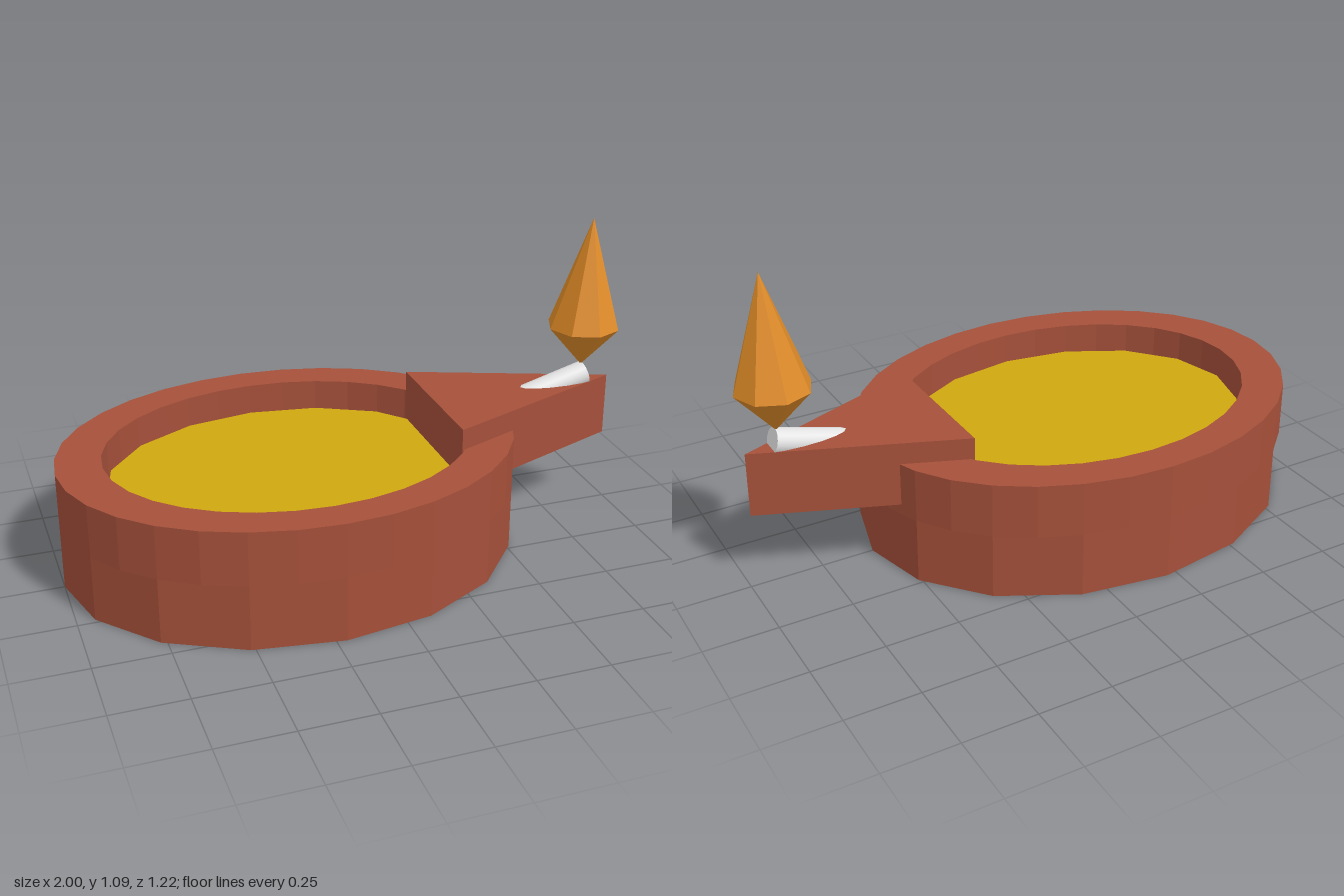
import * as THREE from 'three';

const flat = (name, color) => {
  const m = new THREE.MeshStandardMaterial({ color, flatShading: true });
  m.name = name;
  return m;
};

export function createModel() {
  const clay = flat('terracotta', 0xa5503a);
  const oilMat = flat('golden oil', 0xcfa810);
  const flameMat = flat('flame orange', 0xe08c28);
  const wickMat = new THREE.MeshStandardMaterial({ color: 0xe2e2e2 });
  wickMat.name = 'white wick';

  const group = new THREE.Group();
  const add = (name, geometry, material, x = 0, y = 0) => {
    const mesh = new THREE.Mesh(geometry, material);
    mesh.name = name;
    mesh.position.set(x, y, 0);
    group.add(mesh);
    return mesh;
  };
  const profile = (pts) => pts.map(([r, y]) => new THREE.Vector2(r, y));

  const bowlX = -0.215, rx = 0.785, rz = 0.61;

  // Oval base with 16 sides
  add('base', new THREE.CylinderGeometry(1, 1, 0.23, 16).scale(rx, 1, rz), clay, bowlX, 0.115);

  // Finer oval rim wall, hollow in the middle
  const rim = new THREE.LatheGeometry(
    profile([[1, 0.228], [1, 0.415], [0.803, 0.415], [0.803, 0.228], [1, 0.228]]), 32);
  add('rim', rim.scale(rx, 1, rz), clay, bowlX);

  // Oil inside the rim
  add('oil', new THREE.CylinderGeometry(0.793, 0.793, 0.09, 16).scale(rx, 1, rz), oilMat, bowlX, 0.265);

  // Wedge spout: three-sided prism with its point toward +x
  const spout = new THREE.CylinderGeometry(1, 1, 0.225, 3, 1, false, Math.PI / 2);
  add('spout', spout.scale(0.447, 1, 0.301), clay, 0.533, 0.3775);

  // Wick lying tilted, half sunk into the spout; origin at its exposed end
  const wick = add('wick', new THREE.CylinderGeometry(0.043, 0.043, 0.45, 16).translate(0, -0.225, 0),
    wickMat, 0.887, 0.514);
  wick.rotation.z = -Math.PI / 2 + 0.27;

  // Eight-sided flame with its tip leaning slightly outward
  const flame = new THREE.LatheGeometry(profile([[0, 0.548], [0.127, 0.695], [0, 1.085]]), 8);
  const p = flame.attributes.position;
  for (let i = 0; i < p.count; i++) {
    if (p.getY(i) > 1) p.setX(i, p.getX(i) + 0.014);
  }
  add('flame', flame, flameMat, 0.872);

  return group;
}
